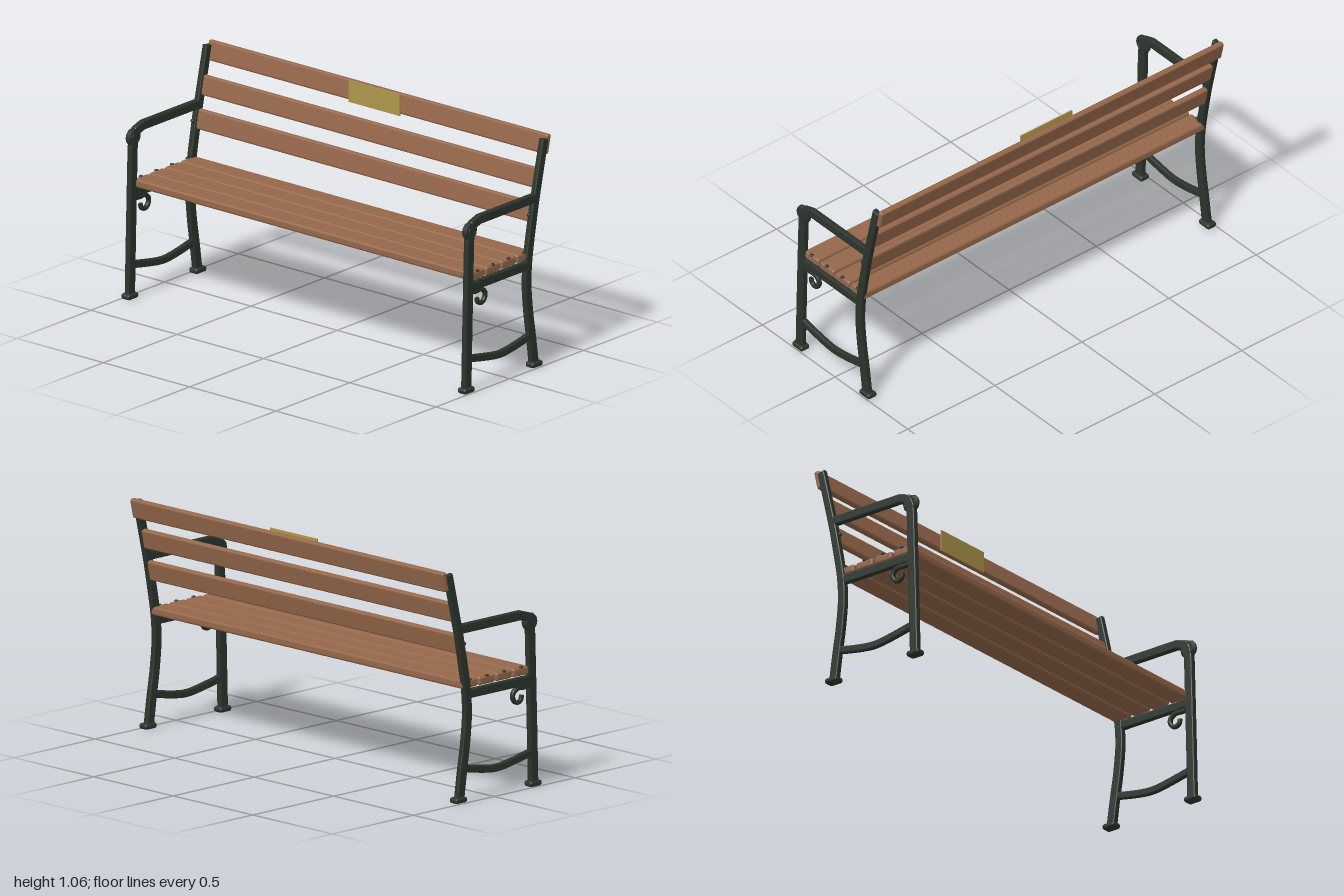
import * as THREE from 'three';
import { RoundedBoxGeometry } from 'three/addons/geometries/RoundedBoxGeometry.js';

const SIDE_X = 0.975;

// Chamfered bar following a path of [z, y] points; width tapers from w0 to w1
function barGeometry(points, w0, w1, depth, steps = 1) {
  const vecs = points.map(([z, y]) => new THREE.Vector2(z, y));
  const path = steps > 1 ? new THREE.SplineCurve(vecs).getPoints(steps) : vecs;
  const bevel = 0.006;
  const left = [], right = [];
  path.forEach((p, i) => {
    const a = path[Math.max(i - 1, 0)], b = path[Math.min(i + 1, path.length - 1)];
    const d = b.clone().sub(a).normalize();
    const t = i / (path.length - 1);
    const h = (w0 + (w1 - w0) * t) / 2 - bevel;
    left.push(new THREE.Vector2(p.x - d.y * h, p.y + d.x * h));
    right.unshift(new THREE.Vector2(p.x + d.y * h, p.y - d.x * h));
  });
  const geo = new THREE.ExtrudeGeometry(new THREE.Shape([...left, ...right]), {
    depth: depth - 2 * bevel, bevelEnabled: true, bevelSize: bevel,
    bevelThickness: bevel, bevelSegments: 2,
  });
  geo.translate(0, 0, -(depth / 2 - bevel));
  geo.rotateY(-Math.PI / 2);
  return geo;
}

export function createModel() {
  const iron = new THREE.MeshStandardMaterial({ color: 0x2b342c });
  iron.name = 'dark green iron';
  const wood = new THREE.MeshStandardMaterial({ color: 0x94674a });
  wood.name = 'brown wood';
  const brass = new THREE.MeshStandardMaterial({ color: 0xae964a });
  brass.name = 'dull brass';

  const bench = new THREE.Group();
  bench.name = 'bench';
  const add = (parent, name, geo, mat, x = 0, y = 0, z = 0) => {
    const mesh = new THREE.Mesh(geo, mat);
    mesh.name = name;
    mesh.position.set(x, y, z);
    parent.add(mesh);
    return mesh;
  };

  // Shared end-frame geometries
  const frontLeg = barGeometry([
    [0.265, 0.015], [0.259, 0.25], [0.252, 0.5], [0.246, 0.7], [0.24, 0.745],
    [0.225, 0.773], [0.18, 0.787], [0.1, 0.787], [-0.19, 0.787],
  ], 0.045, 0.043, 0.028);
  const backPost = barGeometry([
    [-0.192, 0.015], [-0.173, 0.15], [-0.157, 0.25], [-0.144, 0.38], [-0.147, 0.475],
    [-0.158, 0.56], [-0.182, 0.69], [-0.2, 0.78], [-0.26, 1.04],
  ], 0.044, 0.038, 0.028, 32);
  const seatRail = barGeometry([[0.25, 0.486], [-0.145, 0.486]], 0.042, 0.042, 0.026);
  const stretcher = barGeometry([
    [0.255, 0.156], [0.13, 0.132], [0.04, 0.121], [-0.05, 0.13], [-0.17, 0.154],
  ], 0.034, 0.034, 0.024, 16);
  const scroll = barGeometry([
    [0.23, 0.462], [0.205, 0.456], [0.17, 0.458], [0.145, 0.444], [0.138, 0.422],
    [0.15, 0.4], [0.17, 0.393], [0.188, 0.402], [0.193, 0.418],
  ], 0.022, 0.018, 0.02, 28);
  const armCurl = new THREE.TorusGeometry(0.028, 0.015, 8, 12).rotateY(Math.PI / 2);
  const curlHub = new THREE.CylinderGeometry(0.016, 0.016, 0.026, 10).rotateZ(Math.PI / 2);
  const foot = new RoundedBoxGeometry(0.05, 0.026, 0.07, 2, 0.011);
  const bolt = new THREE.SphereGeometry(0.01, 10, 6);

  const seatZ = [0.19, 0.085, -0.021, -0.127];

  // Cast end frames, one on each side
  for (const [side, s] of [['left', 1], ['right', -1]]) {
    const frame = new THREE.Group();
    frame.name = side + 'EndFrame';
    frame.position.x = s * SIDE_X;
    bench.add(frame);
    add(frame, 'frontLegAndArmrest', frontLeg, iron);
    add(frame, 'backPost', backPost, iron);
    add(frame, 'seatRail', seatRail, iron);
    add(frame, 'lowerStretcher', stretcher, iron);
    add(frame, 'underSeatScroll', scroll, iron);
    add(frame, 'armrestCurl', armCurl, iron, 0, 0.747, 0.243);
    add(frame, 'armrestCurlHub', curlHub, iron, 0, 0.747, 0.243);
    add(frame, 'frontFoot', foot, iron, 0, 0.013, 0.265);
    add(frame, 'backFoot', foot, iron, 0, 0.014, -0.196);
    for (const z of seatZ) {
      add(frame, 'seatBolt', bolt, iron, 0, 0.549, z).scale.y = 0.6;
    }
    add(frame, 'backBolt', bolt, iron, 0, 0.715, -0.162);
  }

  // Seat slats
  const seatSlat = new RoundedBoxGeometry(1.96, 0.039, 0.097, 2, 0.011);
  for (const z of seatZ) add(bench, 'seatSlat', seatSlat, wood, 0, 0.53, z);

  // Backrest slats: the lower two sit between the posts, the top one behind them
  const backSlat = new RoundedBoxGeometry(1.94, 0.092, 0.028, 2, 0.01);
  const topSlat = new RoundedBoxGeometry(1.968, 0.092, 0.028, 2, 0.01);
  add(bench, 'lowerBackSlat', backSlat, wood, 0, 0.72, -0.191).rotation.x = -0.2;
  add(bench, 'middleBackSlat', backSlat, wood, 0, 0.869, -0.226).rotation.x = -0.22;
  add(bench, 'topBackSlat', topSlat, wood, 0, 1.015, -0.281).rotation.x = -0.22;

  // Blank plaque on the top slat
  add(bench, 'plaque', new THREE.BoxGeometry(0.296, 0.098, 0.006), brass, 0, 1.015, -0.254);

  return bench;
}
